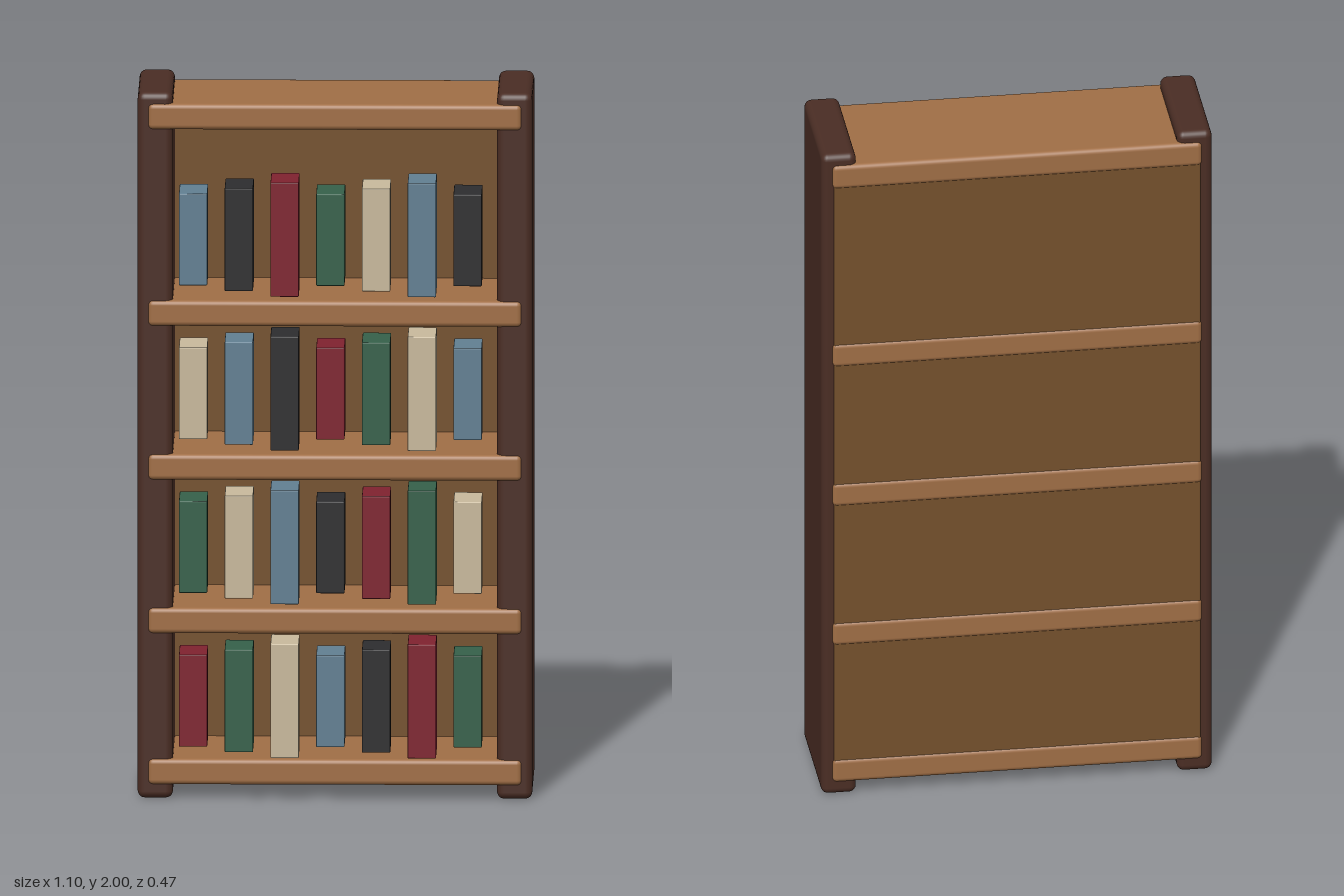
import * as THREE from 'three';
import { RoundedBoxGeometry } from 'three/addons/geometries/RoundedBoxGeometry.js';

const paint = (name, color) => {
  const m = new THREE.MeshStandardMaterial({ color });
  m.name = name;
  return m;
};

export function createModel() {
  const group = new THREE.Group();
  group.name = 'bookcase';

  const darkWood = paint('dark wood', 0x4a2d24);
  const shelfWood = paint('shelf wood', 0xa06e45);
  const backWood = paint('back wood', 0x74502c);
  const covers = [
    paint('red cover', 0x7f222f),
    paint('green cover', 0x35604a),
    paint('cream cover', 0xc8b99c),
    paint('blue cover', 0x617f92),
    paint('black cover', 0x2d2d2f),
  ];

  // Rounded box centred at (x, y), spanning z0 to z1
  const block = (name, material, w, h, z0, z1, x, y, radius, parent = group) => {
    const mesh = new THREE.Mesh(new RoundedBoxGeometry(w, h, z1 - z0, 3, radius), material);
    mesh.name = name;
    mesh.position.set(x, y, (z0 + z1) / 2);
    parent.add(mesh);
  };

  // Upright sides
  for (const [name, s] of [['leftSide', 1], ['rightSide', -1]])
    block(name, darkWood, 0.098, 2, -0.225, 0.137, s * 0.5, 1, 0.02);

  // Back board, lapping over the rear of the sides
  block('backBoard', backWood, 1.03, 1.88, -0.229, -0.2, 0, 1.005, 0.004);

  // Shelves, slightly proud of the sides front and back
  [0.077, 0.505, 0.94, 1.376, 1.933].forEach((y, i) =>
    block(`shelf${i + 1}`, shelfWood, 1.04, 0.073, -0.233, 0.145, 0, y, 0.014));

  // Four rows of seven books, with repeating heights and shifting colours
  const heights = [0.26, 0.291, 0.323];
  for (let row = 0; row < 4; row++) {
    const books = new THREE.Group();
    books.name = `bookRow${row + 1}`;
    group.add(books);
    for (let i = 0; i < 7; i++)
      block(`book${i + 1}`, covers[(i + row) % 5], 0.079, heights[i % 3], 0.085, 0.233,
        -0.393 + i * 0.1273, 0.296 + row * 0.4357, 0.003, books);
  }
  return group;
}
